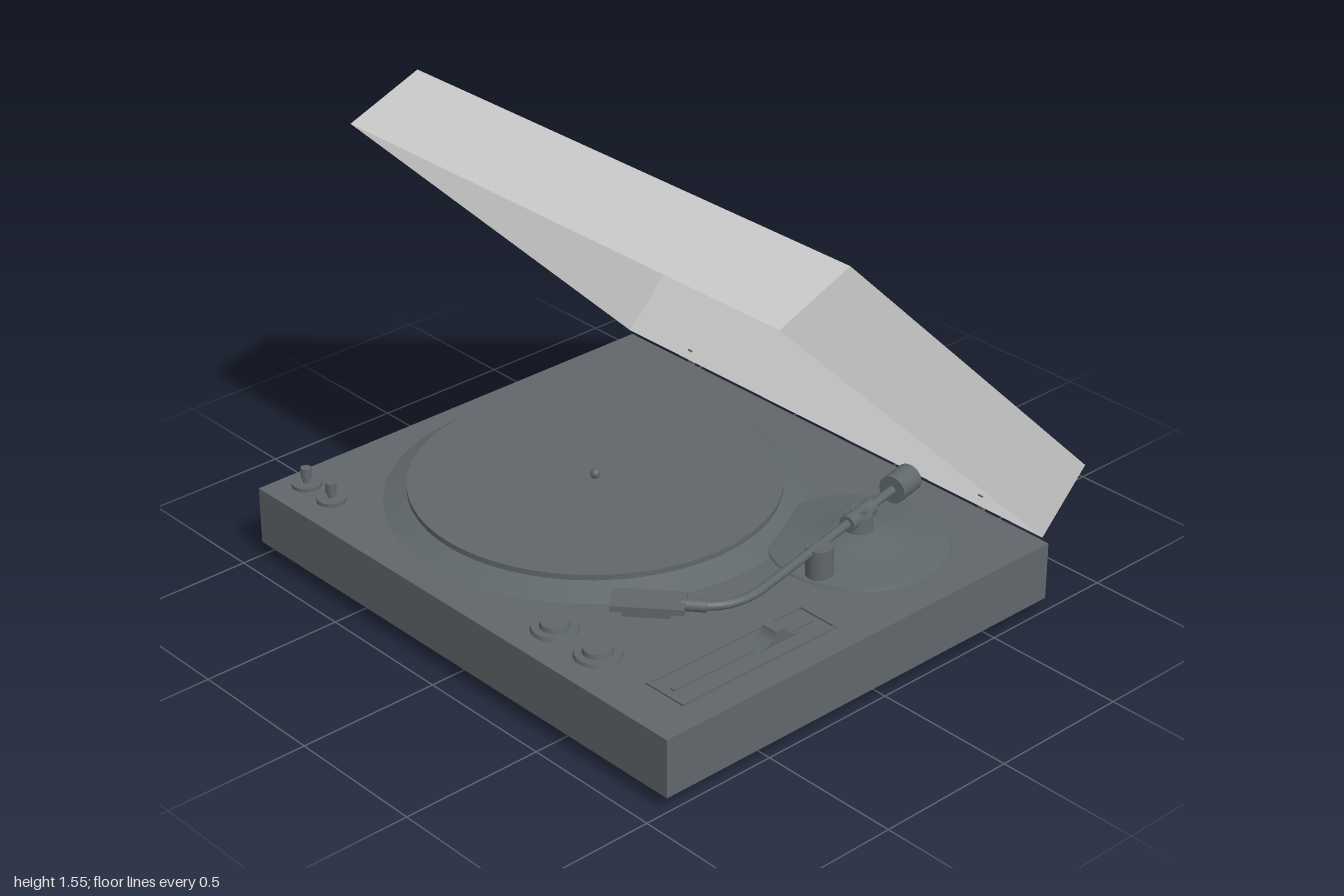
import * as THREE from 'three';

const dark = new THREE.MeshStandardMaterial({ color: 0x60676a });
const darkOpen = new THREE.MeshStandardMaterial({ color: 0x60676a, side: THREE.DoubleSide });
const lidMat = new THREE.MeshStandardMaterial({ color: 0xcccccc, side: THREE.DoubleSide });
const V = (x, y, z) => new THREE.Vector3(x, y, z);

export function createModel() {
  const model = new THREE.Group();

  const add = (name, geo, x = 0, y = 0, z = 0, mat = dark, parent = model) => {
    const mesh = new THREE.Mesh(geo, mat);
    mesh.name = name;
    mesh.position.set(x, y, z);
    parent.add(mesh);
    return mesh;
  };
  const box = (name, x0, x1, y0, y1, z0, z1) =>
    add(name, new THREE.BoxGeometry(x1 - x0, y1 - y0, z1 - z0), (x0 + x1) / 2, (y0 + y1) / 2, (z0 + z1) / 2);
  const disc = (name, x, z, y0, y1, r, rTop = r, n = 32) =>
    add(name, new THREE.CylinderGeometry(rTop, r, y1 - y0, n), x, (y0 + y1) / 2, z);
  // Cylinder between two points
  const rod = (name, a, b, r, n = 24) => {
    const d = b.clone().sub(a);
    const mid = a.clone().add(b).multiplyScalar(0.5);
    const mesh = add(name, new THREE.CylinderGeometry(r, r, d.length(), n), mid.x, mid.y, mid.z);
    mesh.quaternion.setFromUnitVectors(V(0, 1, 0), d.normalize());
    return mesh;
  };

  // Plinth and feet
  const top = 0.255;
  box('plinth', -0.92, 0.74, 0.05, top, -1, 1);
  for (const x of [-0.8, 0.61]) for (const z of [-0.82, 0.86]) disc('foot', x, z, 0, 0.055, 0.07);

  // Platter on its sloped surround
  const px = -0.115, pz = -0.23;
  disc('platterSurround', px, pz, top, 0.295, 0.7, 0.6, 96);
  disc('platter', px, pz, 0.293, 0.312, 0.62, 0.62, 96);
  disc('spindle', px, pz, 0.31, 0.328, 0.012, 0.012, 16);
  add('spindleTip', new THREE.SphereGeometry(0.016, 16, 12), px, 0.326, pz);

  // Two small switches at the back
  for (const z of [-0.91, -0.775]) {
    disc('switchBase', -0.79, z, top, 0.268, 0.05);
    disc('switchStem', -0.79, z, 0.265, 0.29, 0.012, 0.012, 16);
    disc('switchCap', -0.79, z, 0.285, 0.322, 0.018, 0.018, 20);
  }

  // Two round push buttons
  for (const z of [0.32, 0.52]) {
    disc('buttonRing', -0.765, z, top, 0.268, 0.078, 0.074, 40);
    disc('button', -0.765, z, 0.265, 0.284, 0.05, 0.046, 32);
  }

  // Pitch slider: framed panel, slot rail and flared lever
  const panel = new THREE.Shape([[-0.765, -0.9], [-0.115, -0.9], [-0.115, -0.735], [-0.765, -0.735]]
    .map(p => new THREE.Vector2(...p)));
  panel.holes.push(new THREE.Path([[-0.755, -0.89], [-0.755, -0.745], [-0.125, -0.745], [-0.125, -0.89]]
    .map(p => new THREE.Vector2(...p))));
  const frame = add('sliderFrame', new THREE.ExtrudeGeometry(panel, { depth: 0.006, bevelEnabled: false }), 0, top, 0);
  frame.rotation.x = -Math.PI / 2;
  box('sliderRail', -0.73, -0.15, top, 0.26, 0.808, 0.825);
  const lever = new THREE.Shape();
  lever.moveTo(-0.09, 0);
  lever.quadraticCurveTo(-0.025, 0.008, -0.018, 0.045);
  lever.lineTo(0.018, 0.045);
  lever.quadraticCurveTo(0.025, 0.008, 0.09, 0);
  add('sliderLever', new THREE.ExtrudeGeometry(lever, { depth: 0.06, bevelEnabled: false, curveSegments: 8 }),
    -0.31, 0.257, 0.785);

  // Tonearm base: wide stepped disc with pivot column
  const tx = 0.29, tz = 0.585;
  const baseProfile = [[0.3, 0], [0.295, 0.012], [0.19, 0.02], [0.165, 0.032], [0.1, 0.04], [0.085, 0.058], [0, 0.06]];
  add('tonearmBase', new THREE.LatheGeometry(baseProfile.map(p => new THREE.Vector2(...p)), 64),
    tx, top, tz, darkOpen);
  disc('pivotColumn', tx, tz, 0.31, 0.365, 0.05, 0.045);
  disc('pivotCap', tx, tz, 0.365, 0.383, 0.028);
  disc('armRest', 0.05, 0.65, top, 0.37, 0.045);

  // Tonearm: straight tube that bends towards the headshell
  const pivot = V(tx, 0.358, tz);
  const along = V(0.977, -0.004, -0.212).normalize();
  const at = d => pivot.clone().addScaledVector(along, d);
  const shellDir = V(-0.66, 0.01, -0.75).normalize();
  const shellEnd = V(-0.475, 0.37, 0.65);
  const arm = new THREE.CurvePath();
  arm.add(new THREE.LineCurve3(at(0.22), at(-0.56)));
  arm.add(new THREE.QuadraticBezierCurve3(at(-0.56), V(-0.4, 0.366, 0.735), shellEnd));
  add('tonearmTube', new THREE.TubeGeometry(arm, 48, 0.015, 14));
  rod('pivotHousing', at(-0.07), at(0.07), 0.028);
  rod('counterweight', at(0.2), at(0.305), 0.048, 32);
  rod('headshellCollar', shellEnd.clone().addScaledVector(shellDir, -0.03),
    shellEnd.clone().addScaledVector(shellDir, 0.05), 0.02);

  // Headshell with cartridge and finger lift
  const head = new THREE.Group();
  head.name = 'headshell';
  head.position.set(-0.575, 0.375, 0.54);
  head.rotation.y = Math.atan2(shellDir.x, shellDir.z);
  model.add(head);
  add('headshellPlate', new THREE.BoxGeometry(0.11, 0.02, 0.23), 0, 0, 0, dark, head);
  add('cartridge', new THREE.BoxGeometry(0.075, 0.03, 0.15), 0, -0.02, 0.005, dark, head);

  // Hinges on the right edge
  for (const z of [0.7, -0.695]) {
    box('hingeStem', 0.74, 0.755, 0.21, 0.305, z - 0.01, z + 0.01);
    const plate = add('hingePlate', new THREE.BoxGeometry(0.062, 0.014, 0.14), 0.758, 0.307, z);
    plate.rotation.z = Math.PI / 4;
  }

  // Open dust cover: four walls and a top, no underside
  const section = [[-0.48, 1.44], [-0.2, 1.55], [0.91, 0.475], [0.72, 0.28]];
  const w = 0.99;
  const quads = [];
  for (let i = 0; i < 3; i++) {
    const [a, b] = [section[i], section[i + 1]];
    quads.push([[...a, w], [...b, w], [...b, -w], [...a, -w]]);
  }
  quads.push(section.map(p => [...p, w]).reverse(), section.map(p => [...p, -w]));
  const pos = quads.flatMap(q => [0, 1, 2, 0, 2, 3].flatMap(i => q[i]));
  const lidGeo = new THREE.BufferGeometry();
  lidGeo.setAttribute('position', new THREE.Float32BufferAttribute(pos, 3));
  lidGeo.computeVertexNormals();
  add('dustCover', lidGeo, 0, 0, 0, lidMat);

  return model;
}
